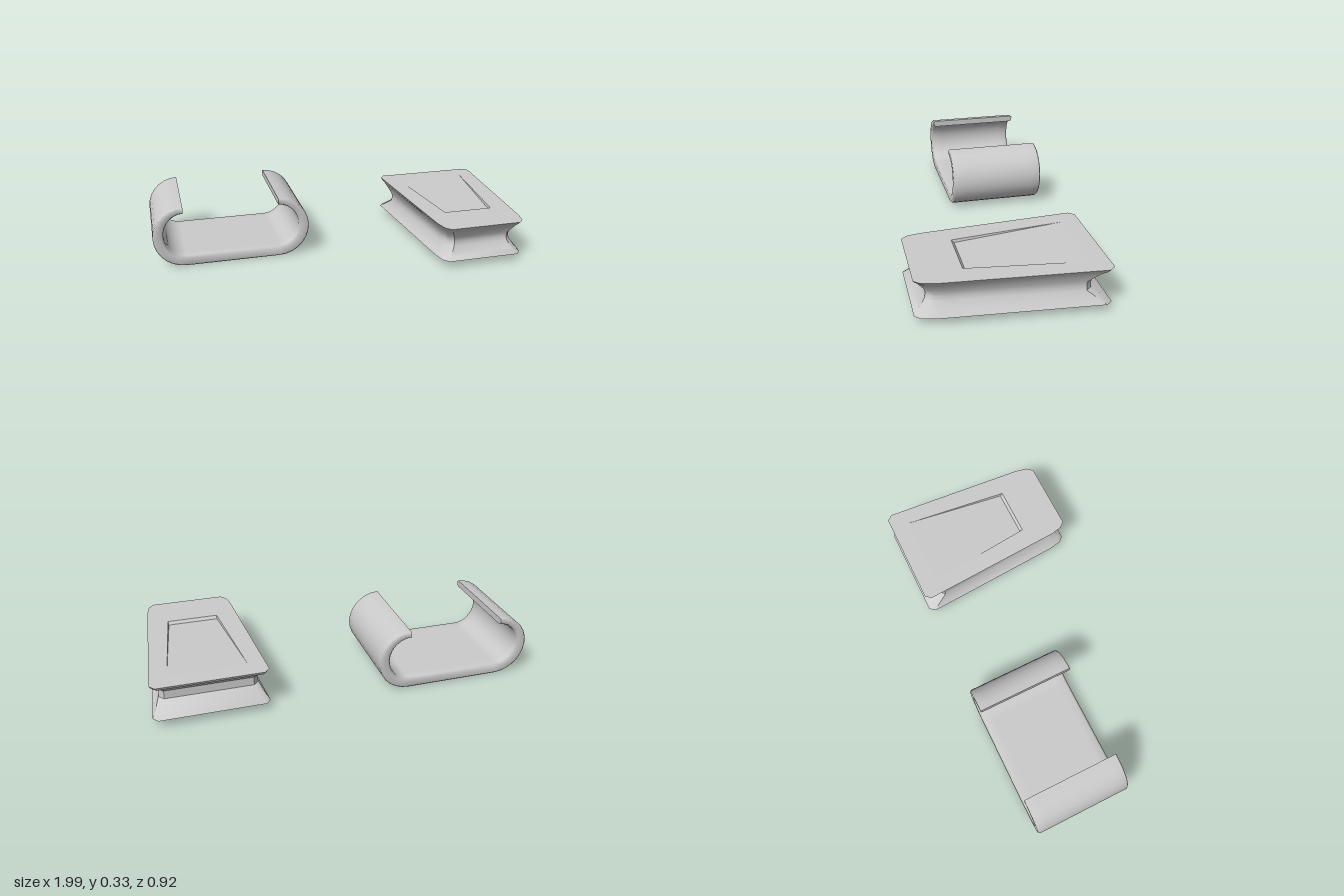
import * as THREE from 'three';
import { toCreasedNormals } from 'three/addons/utils/BufferGeometryUtils.js';

const material = new THREE.MeshStandardMaterial({ color: 0xcccccc });

function mesh(name, geometry) {
  const m = new THREE.Mesh(geometry, material);
  m.name = name;
  return m;
}

// Skin closed rings of [x, y, z] points into an open-ended tube
function loft(rings) {
  const n = rings[0].length;
  const index = [];
  for (let i = 0; i < rings.length - 1; i++) {
    for (let j = 0; j < n; j++) {
      const k = (j + 1) % n;
      const a = i * n + j, b = i * n + k, c = b + n, d = a + n;
      index.push(a, b, c, a, c, d);
    }
  }
  const g = new THREE.BufferGeometry();
  g.setAttribute('position', new THREE.Float32BufferAttribute(rings.flat(2), 3));
  g.setIndex(index);
  g.computeVertexNormals();
  return g;
}

// Flat convex polygon, corners counter-clockwise as seen from its front
function fan(points) {
  const g = new THREE.BufferGeometry();
  const index = [];
  for (let i = 1; i < points.length - 1; i++) index.push(0, i, i + 1);
  g.setAttribute('position', new THREE.Float32BufferAttribute(points.flat(), 3));
  g.setIndex(index);
  g.computeVertexNormals();
  return g;
}

// C-shaped clip: a soft-edged band swept round two half circles
function createClip() {
  const clip = new THREE.Group();
  clip.name = 'clip';
  const zFront = 0.06, zBack = -0.46, steps = 14;
  const rings = [];
  const addRing = (cx, angle) => {
    const c = Math.cos(angle), s = Math.sin(angle);
    const at = (t, z) => [
      cx + c * THREE.MathUtils.lerp(0.165, 0.11, t),
      THREE.MathUtils.lerp(0.165 + 0.165 * s, 0.175 + 0.12 * s, t),
      z,
    ];
    rings.push([
      at(0, zFront - 0.008), at(0, zFront - 0.06), at(0, zBack + 0.06), at(0, zBack + 0.008),
      at(0.15, zBack), at(0.8, zBack),
      at(1, zBack + 0.012), at(1, zBack + 0.06), at(1, zFront - 0.06), at(1, zFront - 0.012),
      at(0.8, zFront), at(0.15, zFront),
    ]);
  };
  for (let i = 0; i <= steps; i++) addRing(-0.83, Math.PI * (0.5 + i / steps));
  for (let i = 0; i <= steps; i++) addRing(-0.325, Math.PI * (1.5 + i / steps));
  clip.add(mesh('band', loft(rings)));
  clip.add(mesh('leftTip', fan(rings[rings.length - 1])));
  clip.add(mesh('rightTip', fan([...rings[0]].reverse())));
  return clip;
}

// Tapered block with a groove all round and a shallow ramp in its top
function createWedge() {
  const wedge = new THREE.Group();
  wedge.name = 'wedge';
  const cx = 0.705, top = 0.225;

  // Outline at one height, pulled in at the back, sides and front
  const ring = ([y, back, side, front]) => {
    const zb = -0.455 + back, zf = 0.455 - front;
    const half = [
      [0.195 - side, zf],
      [0.222 - side, zf - 0.03],
      [0.236 - side, zf - 0.095],
      [0.293 - side, zb + 0.03],
      [0.268 - side, zb],
    ];
    return [
      ...half.map(([x, z]) => [cx + x, y, z]),
      ...half.reverse().map(([x, z]) => [cx - x, y, z]),
    ];
  };
  // height, back inset, side inset, front inset
  const levels = [
    [0.04, 0, 0, 0], [0.063, 0.033, 0.018, 0.025], [0.105, 0.09, 0.042, 0.055],
    [0.128, 0.09, 0.045, 0.06], [0.15, 0.09, 0.042, 0.055], [0.2, 0.035, 0.016, 0.022],
    [0.211, 0.006, 0.008, 0.01], [top, 0, 0, 0],
  ];
  const rings = levels.map(ring);
  wedge.add(mesh('groovedSides', toCreasedNormals(loft(rings), 0.6)));
  wedge.add(mesh('base', fan([...rings[0]].reverse())));

  // Ramp recess: rim corners on the top face, floor sinking to the front
  const rim = [[0.84, 0.22], [0.905, -0.36], [0.505, -0.36], [0.57, 0.22]];
  const flat = (list) => list.map(([x, z]) => new THREE.Vector2(x, -z));
  const shape = new THREE.Shape(flat(rings[rings.length - 1].map(([x, , z]) => [x, z])));
  shape.holes.push(new THREE.Path(flat(rim)));
  wedge.add(mesh('topFace', new THREE.ShapeGeometry(shape).rotateX(-Math.PI / 2).translate(0, top, 0)));

  const [a, b, c, d] = rim.map(([x, z]) => [x, top, z]);
  const lowLeft = [0.838, top - 0.015, 0.206], lowRight = [0.572, top - 0.015, 0.206];
  wedge.add(mesh('rampFloor', fan([lowLeft, b, c, lowRight])));
  wedge.add(mesh('rampStop', fan([a, lowLeft, lowRight, d])));
  wedge.add(mesh('rampLeftWall', fan([a, b, lowLeft])));
  wedge.add(mesh('rampRightWall', fan([d, lowRight, c])));
  return wedge;
}

export function createModel() {
  const model = new THREE.Group();
  model.name = 'clipAndWedge';
  model.add(createClip(), createWedge());
  return model;
}
